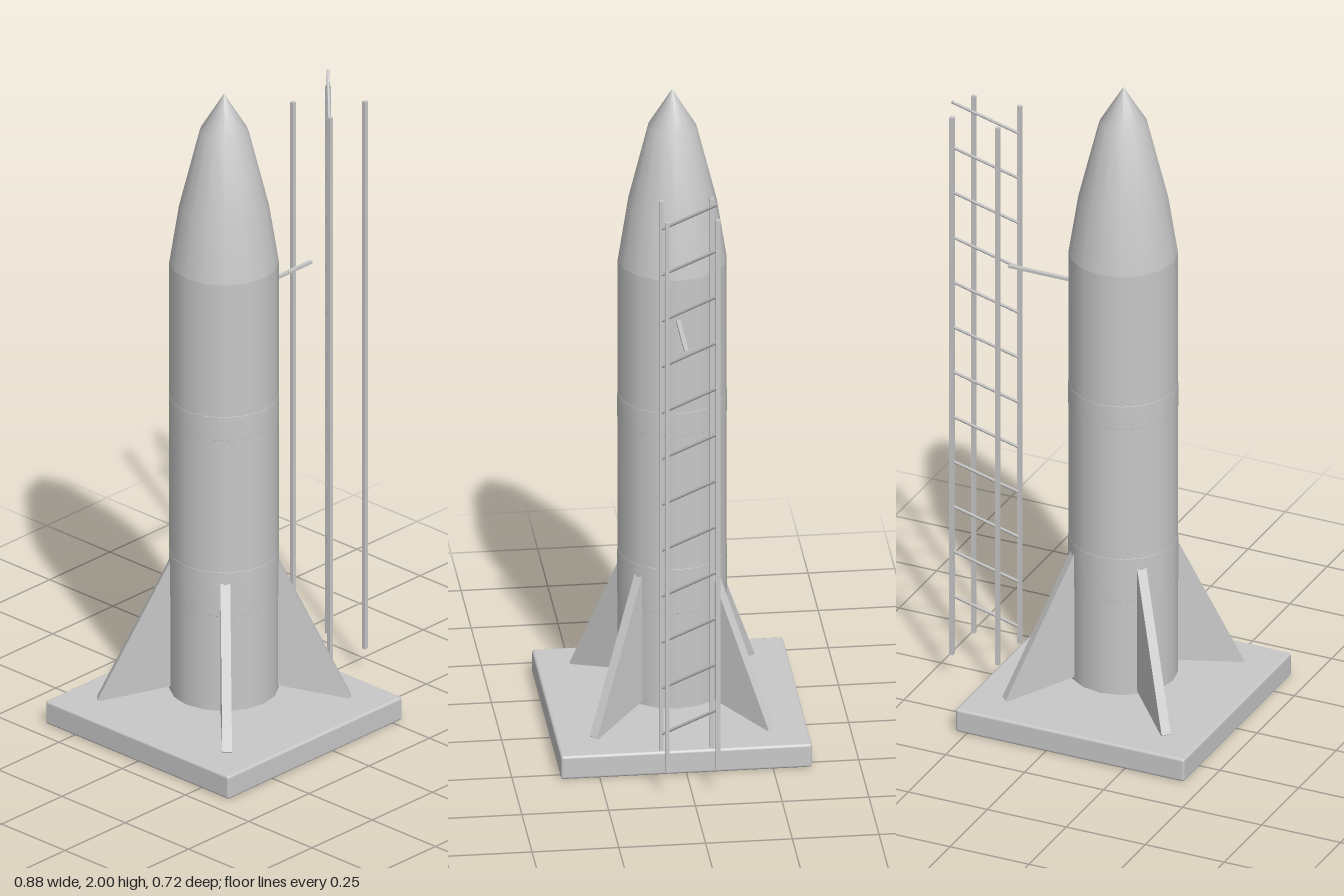
import * as THREE from 'three';
import { RoundedBoxGeometry } from 'three/addons/geometries/RoundedBoxGeometry.js';

const ROCKET_X = -0.077;
const RADIUS = 0.157;
const SIDES = 16;

export function createModel() {
  const model = new THREE.Group();
  const grey = new THREE.MeshStandardMaterial({ color: 0xc8c8c8 });
  grey.name = 'light grey';

  function add(parent, name, geometry, x = 0, y = 0, z = 0) {
    const mesh = new THREE.Mesh(geometry, grey);
    mesh.name = name;
    mesh.position.set(x, y, z);
    parent.add(mesh);
    return mesh;
  }

  function lathe(profile) {
    return new THREE.LatheGeometry(profile.map(([r, y]) => new THREE.Vector2(r, y)), SIDES);
  }

  // Launch pad with softly rounded edges
  add(model, 'launchPad', new RoundedBoxGeometry(0.724, 0.073, 0.724, 2, 0.008), ROCKET_X, 0.0365, 0);

  // Rocket: hull, nose cone and shallow engine cone
  const rocket = new THREE.Group();
  rocket.name = 'rocket';
  rocket.position.x = ROCKET_X;
  model.add(rocket);
  add(rocket, 'hull', lathe([[RADIUS, 0.11], [RADIUS, 0.55], [RADIUS, 1.04], [RADIUS, 1.44], [RADIUS, 1.465]]));
  add(rocket, 'noseCone', lathe([[RADIUS, 1.465], [0.129, 1.645], [0.07, 1.884], [0, 2]]));
  add(rocket, 'engineCone', lathe([[0, 0.08], [0.13, 0.104], [RADIUS, 0.11]]));

  // Slightly raised joints between the hull stages
  for (const [bottom, top] of [[0.41, 0.55], [0.97, 1.045]]) {
    const r = RADIUS + 0.001;
    add(rocket, 'stageJoint', lathe([[RADIUS, bottom], [r, bottom + 0.001], [r, top - 0.001], [RADIUS, top]]));
  }

  // Four diagonal fins, drawn outward from the rocket axis
  const finShape = new THREE.Shape([
    [0.1, 0.125], [0.135, 0.125], [0.358, 0.076], [0.363, 0.08], [0.156, 0.515], [0.15, 0.52], [0.1, 0.52],
  ].map(([x, y]) => new THREE.Vector2(x, y)));
  const finGeometry = new THREE.ExtrudeGeometry(finShape, { depth: 0.028, bevelEnabled: false });
  finGeometry.translate(0, 0, -0.014);
  for (let i = 0; i < 4; i++) {
    add(rocket, 'fin', finGeometry).rotation.y = Math.PI / 4 + i * Math.PI / 2;
  }

  // Service tower: four square posts
  const tower = new THREE.Group();
  tower.name = 'serviceTower';
  model.add(tower);
  const postGeometry = new THREE.BoxGeometry(0.012, 1.742, 0.012);
  for (const x of [0.286, 0.431]) {
    for (const z of [-0.073, 0.073]) add(tower, 'post', postGeometry, x, 0.95, z);
  }

  // Diagonal braces rising across the tower
  const span = new THREE.Vector3(0.145, 0.14, -0.146);
  const braceGeometry = new THREE.CylinderGeometry(0.0045, 0.0045, span.length(), 8);
  for (let i = 0; i < 12; i++) {
    const brace = add(tower, 'brace', braceGeometry, 0.3585, 0.2 + i * 0.1455, 0);
    brace.quaternion.setFromUnitVectors(new THREE.Vector3(0, 1, 0), span.clone().normalize());
  }

  // Access arm reaching from the tower to the hull
  add(model, 'accessArm', new THREE.BoxGeometry(0.215, 0.008, 0.012), 0.1775, 1.337, 0);

  return model;
}
